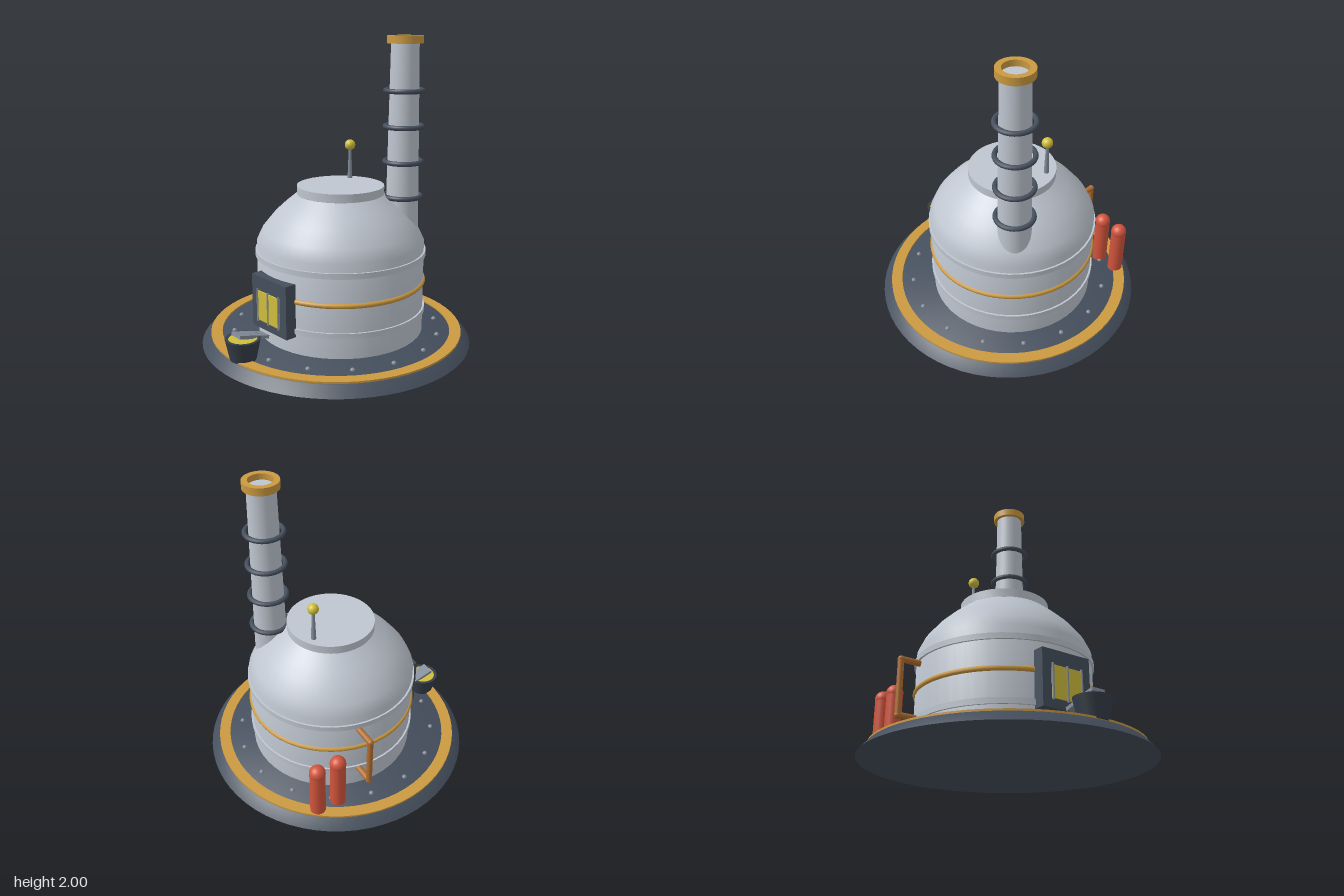
import * as THREE from 'three';
import { toCreasedNormals } from 'three/addons/utils/BufferGeometryUtils.js';

export function createModel() {
  const model = new THREE.Group();
  model.name = 'furnaceHouse';

  const paint = (name, color) => {
    const m = new THREE.MeshStandardMaterial({ color });
    m.name = name;
    return m;
  };
  const shell = paint('paleGrey', 0xbfc6d0);
  const slate = paint('slate', 0x454f5d);
  const iron = paint('darkIron', 0x363e49);
  const gold = paint('gold', 0xcb9a40);
  const yellow = paint('yellow', 0xd0bf3c);
  const steel = paint('steel', 0x848d9b);
  const red = paint('red', 0xd2543c);
  const copper = paint('copper', 0xb36f30);

  const add = (name, geometry, material, x = 0, y = 0, z = 0, parent = model) => {
    const mesh = new THREE.Mesh(geometry, material);
    mesh.name = name;
    mesh.position.set(x, y, z);
    parent.add(mesh);
    return mesh;
  };
  // Turned solid from [radius, height] pairs, bottom to top, with crisp corners
  const turned = (profile, sides = 48) => toCreasedNormals(
    new THREE.LatheGeometry(profile.map(([r, y]) => new THREE.Vector2(r, y)), sides), 0.55);
  const ring = (radius, tube, sides = 48) =>
    new THREE.TorusGeometry(radius, tube, 10, sides).rotateX(Math.PI / 2);

  // Base plate with gold trim and rivets
  add('basePlate', turned([[0, 0], [0.9, 0], [0.845, 0.06], [0.835, 0.066], [0, 0.066]], 64), slate);
  add('baseTrim', turned([[0.765, 0.06], [0.84, 0.06], [0.84, 0.075], [0.765, 0.075], [0.765, 0.06]]
    , 64), gold);
  const rivets = new THREE.Group();
  rivets.name = 'rivets';
  model.add(rivets);
  for (let i = 0; i < 16; i++) {
    const a = (i + 0.5) * Math.PI / 8;
    add('rivet', new THREE.SphereGeometry(0.016, 10, 8), steel,
      0.685 * Math.cos(a), 0.068, 0.685 * Math.sin(a), rivets);
  }

  // Drum and domed roof, set slightly back on the plate
  const body = new THREE.Group();
  body.name = 'body';
  body.position.z = -0.04;
  model.add(body);
  add('drumAndDome', turned([
    [0.555, 0.05], [0.555, 0.675], [0.517, 0.755], [0.44, 0.85], [0.365, 0.92], [0.28, 0.99],
  ]), shell, 0, 0, 0, body);
  add('roofCap', turned([[0.27, 0.97], [0.287, 0.985], [0.287, 1.04], [0, 1.04]]), shell, 0, 0, 0, body);
  for (const y of [0.218, 0.602]) {
    add('bodyBand', turned([
      [0.55, y - 0.018], [0.567, y - 0.018], [0.567, y + 0.018], [0.55, y + 0.018],
    ]), shell, 0, 0, 0, body);
  }
  add('goldBand', ring(0.552, 0.017), gold, 0, 0.41, 0, body);

  // Chimney
  const chimney = new THREE.Group();
  chimney.name = 'chimney';
  chimney.position.set(0.265, 0, -0.35);
  model.add(chimney);
  add('stack', new THREE.CylinderGeometry(0.09, 0.11, 1.27, 32), shell, 0, 1.325, 0, chimney);
  add('stackCrown', turned([
    [0.078, 1.95], [0.115, 1.95], [0.115, 2], [0.078, 2], [0.078, 1.95],
  ], 32), gold, 0, 0, 0, chimney);
  for (let i = 0; i < 4; i++) {
    add('stackRing', ring(0.12, 0.016, 32), slate, 0, 0.965 + i * 0.23, 0, chimney);
  }

  // Antenna
  add('antennaRod', new THREE.CylinderGeometry(0.009, 0.017, 0.22, 12), steel, -0.118, 1.14, -0.235);
  add('antennaBall', new THREE.SphereGeometry(0.036, 20, 14), yellow, -0.118, 1.268, -0.235);

  // Furnace window
  const front = new THREE.Group();
  front.name = 'furnaceWindow';
  model.add(front);
  add('windowFrame', new THREE.BoxGeometry(0.345, 0.345, 0.075), slate, 0, 0.352, 0.527, front);
  add('windowGlow', new THREE.BoxGeometry(0.22, 0.195, 0.009), yellow, 0, 0.333, 0.569, front);
  for (const x of [-0.105, 0, 0.105]) {
    add('windowBar', new THREE.CylinderGeometry(0.007, 0.007, 0.215, 8), steel, x, 0.333, 0.573, front);
  }

  // Crucible with molten fill and sloping spout
  add('crucible', turned([
    [0, 0.066], [0.082, 0.066], [0.11, 0.2], [0.09, 0.2], [0.086, 0.185],
  ], 28), iron, 0, 0, 0.768);
  add('moltenFill', new THREE.CylinderGeometry(0.09, 0.088, 0.008, 28), yellow, 0, 0.193, 0.768);
  add('spout', new THREE.BoxGeometry(0.09, 0.022, 0.225), steel, 0, 0.202, 0.71).rotation.x = -0.27;

  // Gas tanks
  for (const z of [-0.5, -0.35]) {
    const tank = new THREE.Group();
    tank.name = 'gasTank';
    tank.position.set(-0.602, 0, z);
    model.add(tank);
    add('tankBody', new THREE.CylinderGeometry(0.051, 0.051, 0.36, 20, 1, true), red, 0, 0.24, 0, tank);
    add('tankDome', new THREE.SphereGeometry(0.053, 20, 14), red, 0, 0.412, 0, tank);
  }

  // Side pipe: two stubs, an upright and rounded elbows
  const pipe = new THREE.Group();
  pipe.name = 'sidePipe';
  pipe.position.z = -0.158;
  model.add(pipe);
  add('pipeUpright', new THREE.CylinderGeometry(0.02, 0.02, 0.35, 14), copper, -0.672, 0.388, 0, pipe);
  for (const y of [0.215, 0.562]) {
    add('pipeStub', new THREE.CylinderGeometry(0.02, 0.02, 0.15, 14).rotateZ(Math.PI / 2),
      copper, -0.597, y, 0, pipe);
    add('pipeElbow', new THREE.SphereGeometry(0.0215, 14, 10), copper, -0.672, y, 0, pipe);
  }

  return model;
}
